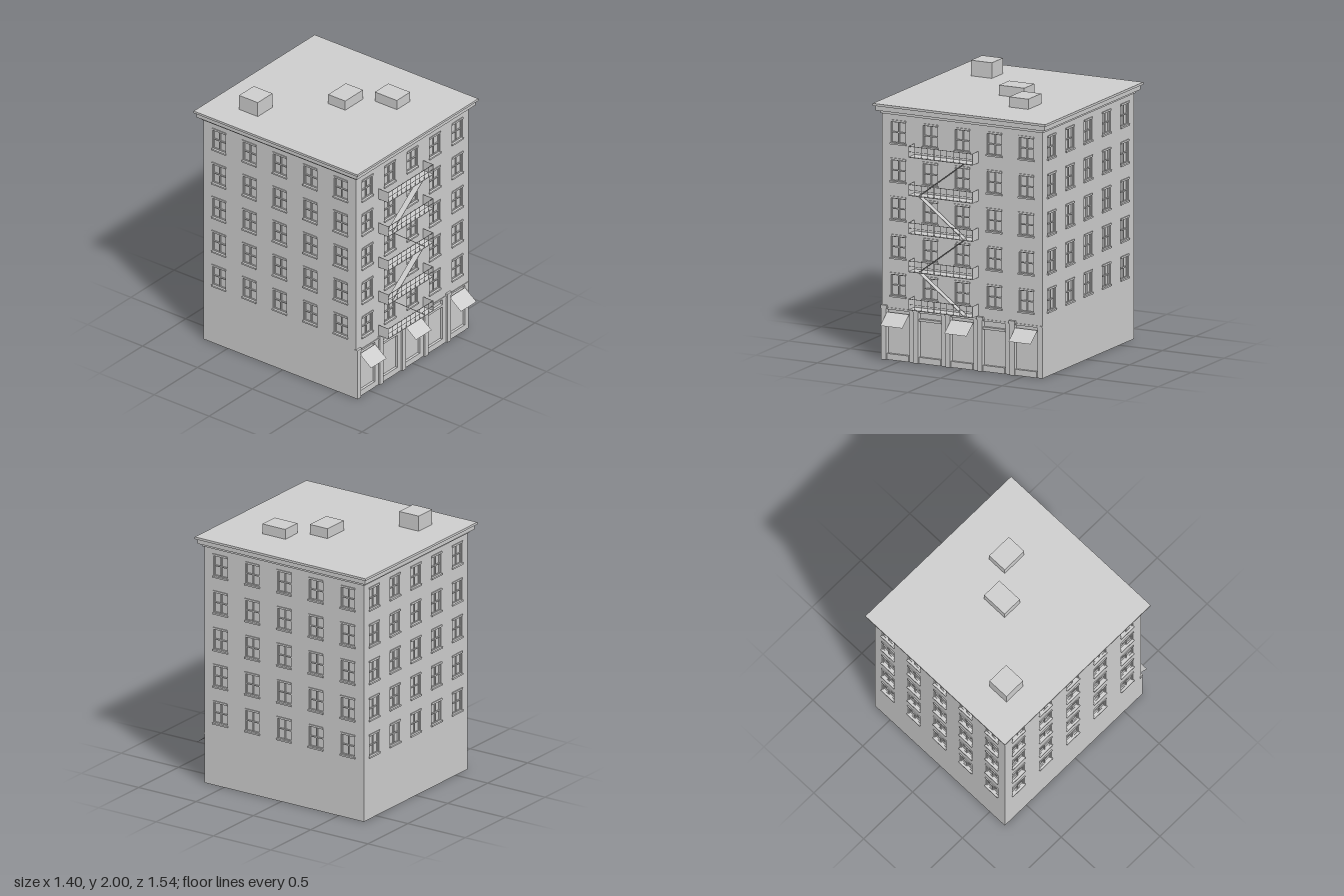
import * as THREE from 'three';
import { mergeGeometries } from 'three/addons/utils/BufferGeometryUtils.js';

const stone = new THREE.MeshStandardMaterial({ color: 0xcccccc, side: THREE.DoubleSide });
stone.name = 'pale grey';

const FRONT = 0.67, BACK = -0.72, HALF = 0.65, TOP = 1.82, THICK = 0.02;
const FLOOR = 0.281, SILL = 0.475, WIN_W = 0.12, WIN_H = 0.157;
const BAY = 0.26;

// Box given by its minimum and maximum corners
function box(x0, x1, y0, y1, z0, z1) {
  return new THREE.BoxGeometry(x1 - x0, y1 - y0, z1 - z0)
    .translate((x0 + x1) / 2, (y0 + y1) / 2, (z0 + z1) / 2);
}

function add(parent, name, geometry) {
  const mesh = new THREE.Mesh(geometry, stone);
  mesh.name = name;
  parent.add(mesh);
  return mesh;
}

function rectHole(x0, x1, y0, y1) {
  const p = new THREE.Path();
  p.moveTo(x0, y0).lineTo(x0, y1).lineTo(x1, y1).lineTo(x1, y0).closePath();
  return p;
}

// Recessed pane, cross bars, sill and lintel; origin at bottom centre of the opening
function windowGeometry() {
  const w = WIN_W / 2, h = WIN_H, b = 0.006;
  return mergeGeometries([
    new THREE.PlaneGeometry(WIN_W, h).translate(0, h / 2, -0.018),
    box(-w, -w + b, 0, h, -0.018, -0.008),
    box(w - b, w, 0, h, -0.018, -0.008),
    box(-w, w, h - b, h, -0.018, -0.008),
    box(-w, w, 0, b, -0.018, -0.008),
    box(-0.004, 0.004, 0, h, -0.018, -0.008),
    box(-w, w, h / 2 - 0.004, h / 2 + 0.004, -0.018, -0.008),
    box(-w - 0.006, w + 0.006, -0.01, 0.002, -0.01, 0.01),
    box(-w - 0.003, w + 0.003, h, h + 0.014, -0.01, 0.007),
  ]);
}

// Wall with five by five windows; outer face at local z = 0
function makeWall(name, width, spacing, windowGeo, shopHoles = []) {
  const group = new THREE.Group();
  group.name = name;
  const shape = new THREE.Shape();
  shape.moveTo(-width / 2, 0).lineTo(width / 2, 0).lineTo(width / 2, TOP).lineTo(-width / 2, TOP).closePath();
  shape.holes.push(...shopHoles);
  for (let row = 0; row < 5; row++) {
    for (let col = -2; col <= 2; col++) {
      const x = col * spacing, y = SILL + row * FLOOR;
      shape.holes.push(rectHole(x - WIN_W / 2, x + WIN_W / 2, y, y + WIN_H));
      add(group, 'window', windowGeo).position.set(x, y, 0);
    }
  }
  add(group, 'wallPanel', new THREE.ExtrudeGeometry(shape, { depth: THICK, bevelEnabled: false }).translate(0, 0, -THICK));
  return group;
}

// Ground floor bays: pilaster, recessed shop window, plinth, and awning or shutter box
function makeShopfronts() {
  const group = new THREE.Group();
  group.name = 'shopfronts';
  for (let i = 0; i < 5; i++) {
    const x = -HALF + i * BAY, l = x + 0.04, r = x + 0.22;
    add(group, 'pilaster', mergeGeometries([
      box(x, l, 0, 0.38, FRONT - 0.01, FRONT + 0.015),
      box(x - 0.005, l + 0.005, 0.378, 0.402, FRONT - 0.01, FRONT + 0.018),
    ]));
    add(group, 'shopWindow', new THREE.PlaneGeometry(r - l, 0.37).translate((l + r) / 2, 0.185, FRONT - 0.018));
    add(group, 'plinth', box(l, r - 0.005, 0, 0.045, FRONT - 0.018, FRONT + 0.002));
    add(group, 'fascia', box(l, x + BAY, 0.372, 0.385, FRONT - 0.005, FRONT + 0.005));
    if (i % 2 === 0) {
      // Sloping awning sheet
      const drop = 0.08, reach = 0.105;
      const sheet = new THREE.PlaneGeometry(0.18, Math.hypot(drop, reach));
      sheet.rotateX(-Math.atan2(reach, drop));
      sheet.translate((l + r) / 2, 0.31, FRONT + reach / 2);
      add(group, 'awning', sheet);
    } else {
      add(group, 'shutterBox', box(l, r, 0.31, 0.328, FRONT - 0.018, FRONT + 0.003));
    }
  }
  return group;
}

// Five balconies joined by zigzag stairs
function makeFireEscape() {
  const group = new THREE.Group();
  group.name = 'fireEscape';
  const x0 = -0.39, x1 = 0.13, zOut = 0.76, base = 0.405, h = 0.085, t = 0.003;
  const parts = [
    box(x0, x1, 0, 0.005, FRONT, zOut),
    box(x0, x0 + t, 0, h, FRONT, zOut),
    box(x1 - t, x1, 0, h, FRONT, zOut),
    box(x0, x1, h - 0.004, h, zOut - t, zOut),
    box(x0, x1, h / 2, h / 2 + 0.002, zOut - t, zOut),
  ];
  for (let i = 1; i < 10; i++) {
    const x = x0 + (x1 - x0) * i / 10;
    parts.push(box(x - 0.0015, x + 0.0015, 0, h, zOut - t, zOut));
  }
  const balcony = mergeGeometries(parts);
  const run = 0.37;
  const stair = new THREE.BoxGeometry(Math.hypot(run, FLOOR), 0.004, 0.045);
  for (let i = 0; i < 5; i++) {
    const y = base + i * FLOOR;
    add(group, 'balcony', balcony).position.y = y;
    if (i < 4) {
      const flight = add(group, 'stairFlight', stair);
      flight.position.set(-0.135, y + FLOOR / 2, 0.72);
      flight.rotation.z = (i % 2 ? 1 : -1) * Math.atan2(FLOOR, run);
    }
  }
  return group;
}

export function createModel() {
  const model = new THREE.Group();
  model.name = 'apartmentBuilding';
  const windowGeo = windowGeometry();
  const depth = FRONT - BACK, midZ = (FRONT + BACK) / 2;

  // Four walls, open underneath
  const shopHoles = [];
  for (let i = 0; i < 5; i++) {
    const x = -HALF + i * BAY;
    shopHoles.push(rectHole(x + 0.04, x + 0.22, 0.002, 0.37));
  }
  const front = makeWall('frontWall', HALF * 2, BAY, windowGeo, shopHoles);
  front.position.z = FRONT;
  const back = makeWall('backWall', HALF * 2, BAY, windowGeo);
  back.position.z = BACK;
  back.rotation.y = Math.PI;
  model.add(front, back);
  for (const s of [1, -1]) {
    const side = makeWall(s > 0 ? 'leftWall' : 'rightWall', depth, 0.2775, windowGeo);
    side.position.set(s * HALF, 0, midZ);
    side.rotation.y = s * Math.PI / 2;
    model.add(side);
  }

  model.add(makeShopfronts(), makeFireEscape());

  // Stepped cornice: overhang, bottom, top
  for (const [o, y0, y1] of [[0.01, 1.81, 1.832], [0.035, 1.832, 1.868], [0.05, 1.868, 1.885]]) {
    add(model, 'cornice', box(-HALF - o, HALF + o, y0, y1, BACK - o, FRONT + o));
  }

  // Rooftop units
  add(model, 'stairHouse', box(-0.48, -0.31, 1.88, 2.0, -0.53, -0.36));
  add(model, 'roofUnit', box(-0.02, 0.185, 1.88, 1.96, -0.08, 0.075));
  add(model, 'roofUnit', box(0.215, 0.37, 1.88, 1.96, 0.16, 0.36));
  return model;
}
